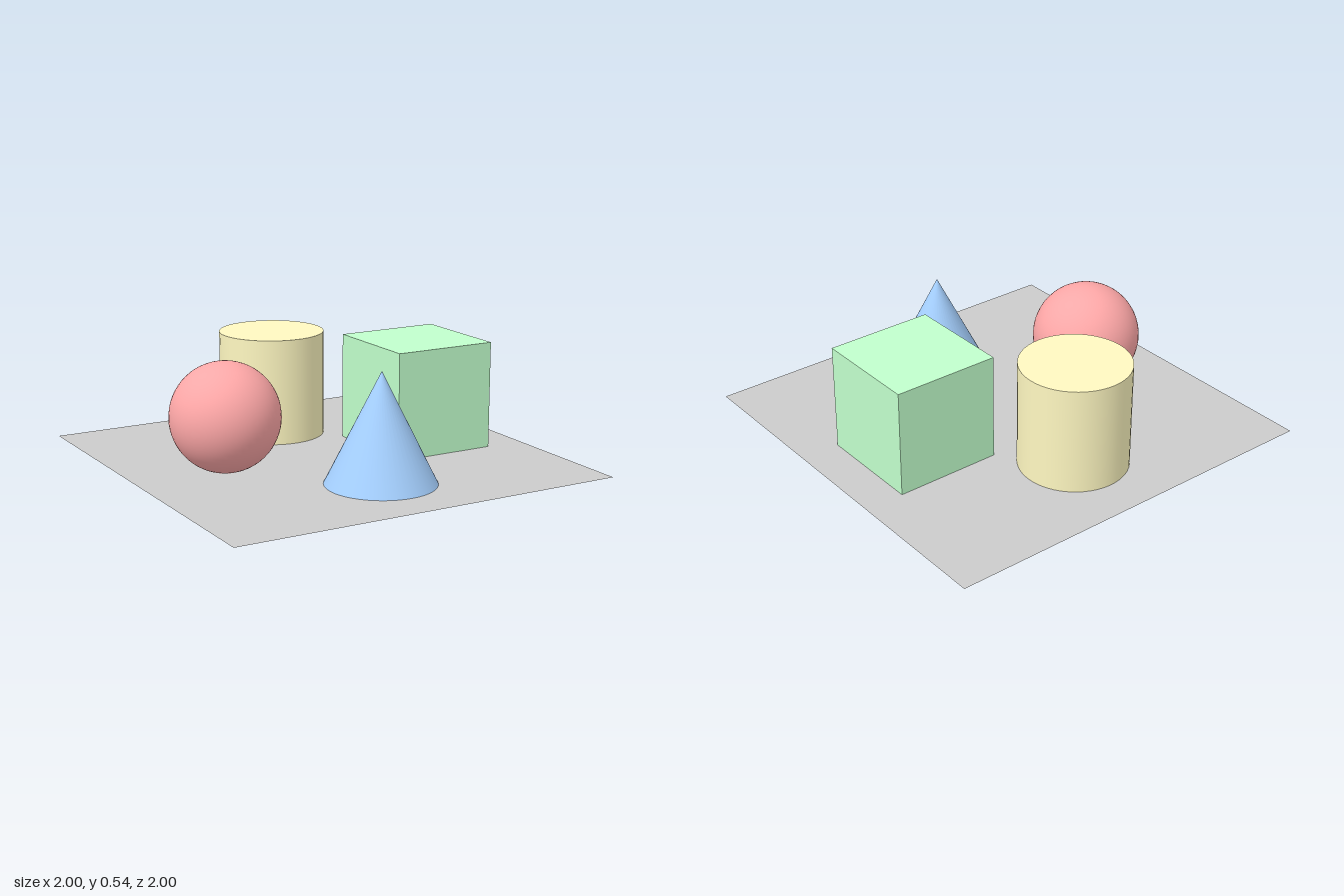
import * as THREE from 'three';

const R = 0.268;      // half size shared by all four solids
const D = 2 * R;      // their height and their distance from the centre

export function createModel() {
  const group = new THREE.Group();

  const add = (name, geometry, color, x, y, z, side = THREE.FrontSide) => {
    const mesh = new THREE.Mesh(geometry, new THREE.MeshStandardMaterial({ color, side }));
    mesh.name = name;
    mesh.position.set(x, y, z);
    group.add(mesh);
  };

  // Flat square base
  add('groundPlane', new THREE.PlaneGeometry(2, 2).rotateX(-Math.PI / 2), 0xcccccc, 0, 0, 0, THREE.DoubleSide);

  // One solid on each side of the centre
  add('cube', new THREE.BoxGeometry(D, D, D), 0xc1ffcc, D, R, 0);
  add('sphere', new THREE.SphereGeometry(R, 48, 32), 0xffa8a8, -D, R, 0);
  add('cone', new THREE.ConeGeometry(R, D, 48), 0xa5d0ff, 0, R, D);
  add('cylinder', new THREE.CylinderGeometry(R, R, D, 48), 0xfff8c1, 0, R, -D);

  return group;
}
